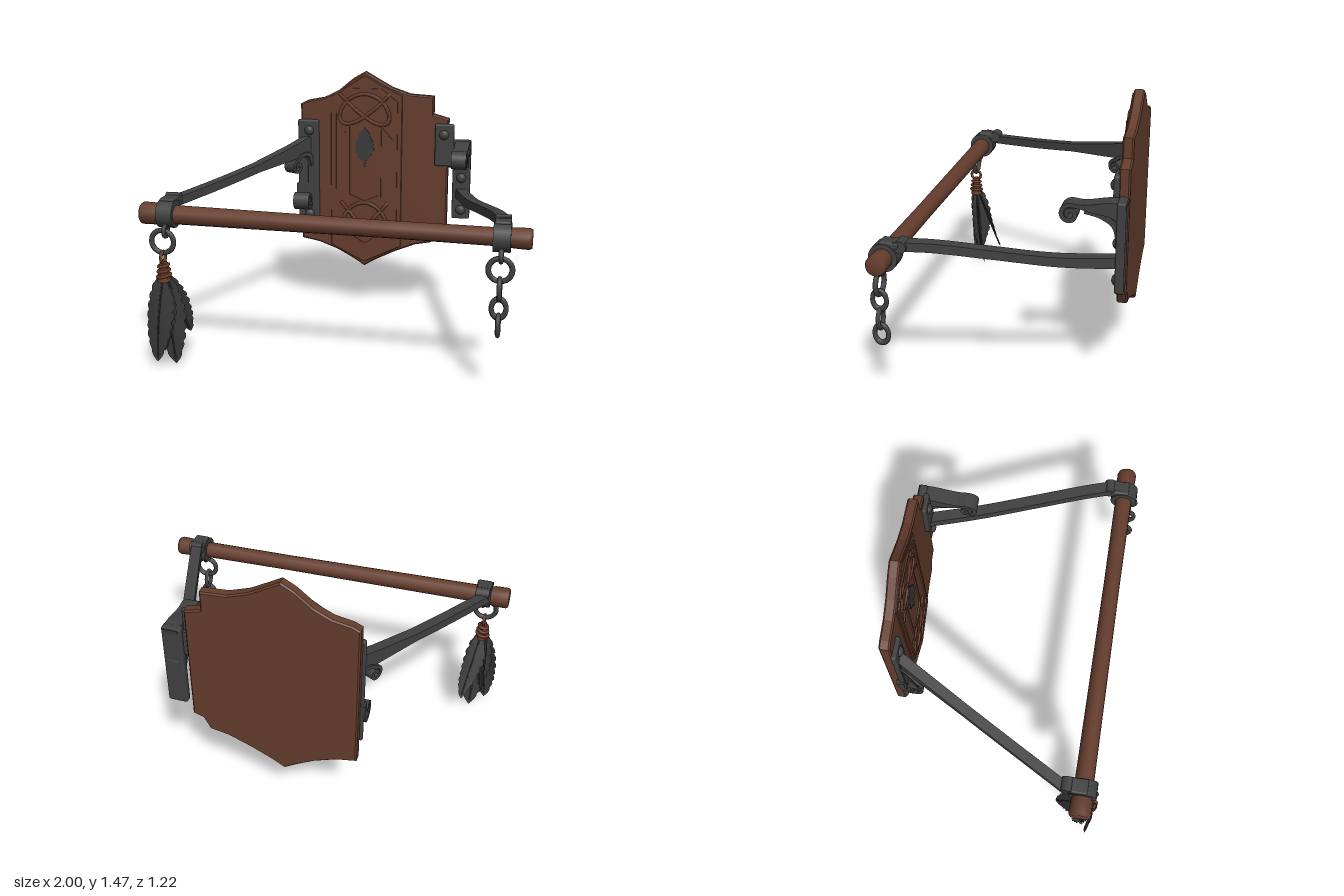
import * as THREE from 'three';
import { RoundedBoxGeometry } from 'three/addons/geometries/RoundedBoxGeometry.js';

const wood = new THREE.MeshStandardMaterial({ color: 0x653d2d });
wood.name = 'brown wood';
const iron = new THREE.MeshStandardMaterial({ color: 0x414141 });
iron.name = 'dark iron';
const plume = new THREE.MeshStandardMaterial({ color: 0x3a3a3b, side: THREE.DoubleSide });
plume.name = 'feather grey';
const twine = new THREE.MeshStandardMaterial({ color: 0x6b3c27 });
twine.name = 'leather twine';

const V = (x, y, z = 0) => new THREE.Vector3(x, y, z);

function add(parent, name, geometry, material, x = 0, y = 0, z = 0) {
  const mesh = new THREE.Mesh(geometry, material);
  mesh.name = name;
  mesh.position.set(x, y, z);
  parent.add(mesh);
  return mesh;
}

const slab = (points, depth, bevel) => new THREE.ExtrudeGeometry(
  new THREE.Shape(points.map(([x, y]) => new THREE.Vector2(x, y))),
  { depth: depth - 2 * bevel, bevelEnabled: bevel > 0, bevelThickness: bevel, bevelSize: bevel, bevelOffset: -bevel, bevelSegments: 1 }
).translate(0, 0, bevel);

// Points of a spiral that winds inwards
function spiral(cx, cy, r0, r1, start, turns) {
  const n = Math.ceil(Math.abs(turns) * 12);
  return Array.from({ length: n + 1 }, (_, i) => {
    const r = r0 + (r1 - r0) * i / n, a = start + turns * 2 * Math.PI * i / n;
    return [cx + r * Math.cos(a), cy + r * Math.sin(a)];
  });
}

// Iron strap following a curve in the x-y plane, tapering from t0 to t1
function strap(points, t0, t1, width, n = 48) {
  const curve = new THREE.CatmullRomCurve3(points.map(([x, y]) => V(x, y)));
  const upper = [], lower = [];
  for (let i = 0; i <= n; i++) {
    const p = curve.getPointAt(i / n), d = curve.getTangentAt(i / n);
    const h = (t1 + (t0 - t1) * Math.max(0, 1 - 2.4 * i / n)) / 2;
    upper.push([p.x - d.y * h, p.y + d.x * h]);
    lower.unshift([p.x + d.y * h, p.y - d.x * h]);
  }
  return slab([...upper, ...lower], width, 0).translate(0, 0, -width / 2);
}

// Flat raised bar between two points on the board face
function rail(parent, name, [x0, y0], [x1, y1], width, z) {
  const length = Math.hypot(x1 - x0, y1 - y0) + width * 0.6;
  const bar = add(parent, name, new THREE.BoxGeometry(length, width, 0.012), wood, (x0 + x1) / 2, (y0 + y1) / 2, z);
  bar.rotation.z = Math.atan2(y1 - y0, x1 - x0);
}

function bolt(parent, x, y, z) {
  const head = new THREE.SphereGeometry(0.029, 14, 6, 0, Math.PI * 2, 0, Math.PI / 2).rotateX(Math.PI / 2);
  add(parent, 'bolt', head, iron, x, y, z).scale.z = 0.75;
}

// Carved wall board
function makeBoard() {
  const board = new THREE.Group();
  board.name = 'wallBoard';
  const outline = [
    [-0.41, 0.43], [-0.3, 0.41], [-0.18, 0.365], [-0.08, 0.31], [-0.02, 0.272], [0.05, 0.315], [0.17, 0.375], [0.29, 0.425],
    [0.39, 0.445], [0.425, 0.515], [0.48, 0.535], [0.48, 1.2], [0.39, 1.225], [0.39, 1.33], [0.25, 1.338], [0.14, 1.375],
    [0.05, 1.425], [-0.02, 1.465], [-0.09, 1.425], [-0.18, 1.35], [-0.27, 1.305], [-0.37, 1.285], [-0.41, 1.265]];
  add(board, 'backboard', slab(outline, 0.057, 0.008), wood, 0, 0, -0.605);
  const centre = [[-0.225, 0.4], [-0.02, 0.3], [0.205, 0.41], [0.205, 1.33], [0.08, 1.39], [-0.02, 1.445], [-0.12, 1.38], [-0.225, 1.315]];
  add(board, 'centrePlank', slab(centre, 0.012, 0.003), wood, 0, 0, -0.553);

  const frame = [[-0.2, 1.29], [-0.11, 1.36], [0.08, 1.36], [0.17, 1.29], [0.17, 0.53], [-0.02, 0.41], [-0.2, 0.53]];
  frame.forEach((p, i) => rail(board, 'frameRail', p, frame[(i + 1) % frame.length], 0.017, -0.539));
  for (const x of [-0.115, 0.075]) rail(board, 'innerRail', [x, 0.72], [x, 1.14], 0.014, -0.539);
  for (const s of [-1, 1]) {
    rail(board, 'innerRail', [-0.02 + s * 0.095, 0.72], [-0.02, 0.68], 0.014, -0.539);
    rail(board, 'innerRail', [-0.02 + s * 0.095, 1.14], [-0.02 + s * 0.16, 1.07], 0.014, -0.539);
  }

  // Interlaced knots above and below
  for (const [y, a, b] of [[1.245, 0.15, 0.09], [0.575, 0.14, 0.1]]) {
    const path = Array.from({ length: 96 }, (_, i) => {
      const t = i / 96 * Math.PI * 2;
      return V(a * Math.sin(3 * t + 0.4), b * Math.sin(4 * t), 0.006 * Math.cos(12 * t));
    });
    const knot = new THREE.TubeGeometry(new THREE.CatmullRomCurve3(path, true), 200, 0.0115, 6, true);
    add(board, 'knot', knot, wood, -0.02, y, -0.541).scale.z = 0.7;
  }

  // Inlaid feather
  const half = [[0.012, 0.94], [0.045, 0.965], [0.04, 0.98], [0.062, 1.0], [0.052, 1.02], [0.056, 1.05], [0.038, 1.075], [0.03, 1.105]];
  const inlay = [[0.005, 0.895], ...half, [0, 1.14], ...half.map(([x, y]) => [-x, y - 0.006]).reverse(), [-0.005, 0.895]];
  add(board, 'featherInlay', slab(inlay, 0.008, 0), plume, -0.02, 0, -0.542);
  return board;
}

// Plane through a point, facing along (dx, dz), for straps
function strapPlane(parent, name, x, z, dx, dz) {
  const group = new THREE.Group();
  group.name = name;
  group.position.set(x, 0, z);
  group.rotation.y = Math.atan2(-dz, dx);
  parent.add(group);
  return group;
}

function makeBrackets() {
  const brackets = new THREE.Group();
  brackets.name = 'brackets';
  const Q = Math.PI / 2;

  // Bracket on the -x side, with the high arm
  add(brackets, 'mountPlate', new RoundedBoxGeometry(0.128, 0.643, 0.03, 2, 0.012), iron, -0.361, 0.853, -0.54);
  for (const y of [1.11, 0.595]) bolt(brackets, -0.355, y, -0.526);
  const high = strapPlane(brackets, 'highArm', -0.365, -0.545, -0.52, 0.975);
  add(high, 'arm', strap([[0, 1.025], [0.12, 1.0], [0.35, 0.965], [0.7, 0.915], [1.09, 0.87]], 0.1, 0.046, 0.055), iron);
  add(high, 'upperScroll', strap([[0, 0.9], [0.03, 0.965], [0.09, 0.97], ...spiral(0.13, 0.905, 0.04, 0.01, Q, -1.3)], 0.03, 0.019, 0.075, 70), iron);
  const low = strapPlane(brackets, 'lowerScrollBracket', -0.388, -0.545, 0, 1);
  add(low, 'lowerScroll', strap([[0, 0.78], [0.008, 0.7], [0.03, 0.65], ...spiral(0.065, 0.69, 0.048, 0.011, -Q, 1.4)], 0.04, 0.021, 0.095, 70), iron);
  add(low, 'spine', new THREE.BoxGeometry(0.03, 0.36, 0.05), iron, 0.01, 0.88, 0);

  // Bracket on the +x side, with the low arm
  add(brackets, 'mountPlate', new RoundedBoxGeometry(0.112, 0.25, 0.03, 2, 0.01), iron, 0.458, 1.048, -0.542);
  bolt(brackets, 0.455, 1.11, -0.528);
  add(brackets, 'mountPlate', new RoundedBoxGeometry(0.105, 0.475, 0.045, 2, 0.01), iron, 0.56, 0.838, -0.5825);
  add(brackets, 'plateTie', new THREE.BoxGeometry(0.09, 0.14, 0.02), iron, 0.5, 0.98, -0.57);
  for (const y of [0.655, 0.85]) bolt(brackets, 0.56, y, -0.561);
  const top = strapPlane(brackets, 'topScrollBracket', 0.565, -0.605, 0, 1);
  add(top, 'topScroll', strap([[0.005, 1.02], [0.08, 1.035], [0.17, 1.035], [0.23, 1.04], ...spiral(0.272, 0.998, 0.046, 0.011, Q, -1.4)], 0.1, 0.022, 0.085, 80), iron);
  add(top, 'cornerFillet', strap([[0.02, 0.86], [0.05, 0.95], [0.12, 1.0], [0.2, 1.02]], 0.05, 0.03, 0.07, 16), iron);
  const lowArm = strapPlane(brackets, 'lowArm', 0.56, -0.57, 0.3, 1.02);
  add(lowArm, 'arm', strap([[0, 0.755], [0.3, 0.772], [0.62, 0.82], [0.9, 0.862], [1.08, 0.875]], 0.056, 0.046, 0.062), iron);
  return brackets;
}

// Wooden cross bar with thicker ends
function makeBar() {
  const profile = [[0, -1], [0.05, -1], [0.058, -0.99], [0.057, -0.92], [0.05, -0.88], [0.047, -0.3], [0.044, 0.3], [0.046, 0.85],
    [0.051, 0.92], [0.053, 0.985], [0.046, 1], [0, 1]].map(([r, y]) => new THREE.Vector2(r, y));
  const bar = new THREE.Mesh(new THREE.LatheGeometry(profile, 14).rotateZ(-Math.PI / 2), wood);
  bar.name = 'crossBar';
  bar.position.set(0, 0.822, 0.501);
  bar.rotation.set(0, -0.01, -0.01);
  return bar;
}

function makeClamp(x, y, z) {
  const clamp = new THREE.Group();
  clamp.name = 'clamp';
  clamp.position.set(x, y, z);
  add(clamp, 'band', new THREE.CylinderGeometry(0.073, 0.073, 0.085, 20).rotateZ(Math.PI / 2), iron);
  add(clamp, 'tongue', new RoundedBoxGeometry(0.08, 0.035, 0.1, 2, 0.01), iron, 0, 0.065, -0.03);
  add(clamp, 'curl', new THREE.CylinderGeometry(0.032, 0.032, 0.075, 14).rotateZ(Math.PI / 2), iron, 0, 0.06, -0.085);
  add(clamp, 'eye', new THREE.TorusGeometry(0.03, 0.012, 8, 16).rotateY(Math.PI / 2), iron, 0, -0.08, 0.045);
  return clamp;
}

function ring(parent, name, x, y, z, radius, tube, stretch, sideways) {
  const link = add(parent, name, new THREE.TorusGeometry(radius, tube, 8, 24), iron, x, y, z);
  link.scale.y = stretch;
  if (sideways) link.rotation.y = Math.PI / 2;
}

// Cupped vane with ragged edges, running from root to tip
function makeFeather(root, tip, width, yaw, bow) {
  const group = new THREE.Group();
  group.name = 'feather';
  const side = V(Math.cos(yaw), 0, Math.sin(yaw));
  const normal = V(-Math.sin(yaw), 0, Math.cos(yaw));
  const place = (s, t) => root.clone().lerp(tip, t)
    .addScaledVector(normal, bow * Math.sin(Math.PI * t) - 0.16 * width * s * s * Math.sin(Math.PI * t))
    .addScaledVector(side, s * width / 2);
  const vane = new THREE.PlaneGeometry(1, 1, 4, 28);
  const pos = vane.attributes.position;
  for (let i = 0; i < pos.count; i++) {
    const t = 0.5 - pos.getY(i), row = Math.round(t * 28);
    const ragged = row % 3 === 0 ? 0.86 : row % 7 === 2 ? 0.93 : 1;
    const w = Math.pow(Math.sin(Math.PI * Math.pow(t, 0.85)), 0.65) * ragged || 0;
    const p = place(pos.getX(i) * 2 * w, t);
    pos.setXYZ(i, p.x, p.y, p.z);
  }
  vane.computeVertexNormals();
  add(group, 'vane', vane, plume);
  const shaft = new THREE.CatmullRomCurve3([0, 0.3, 0.6, 0.95].map(t => place(0, t)));
  add(group, 'shaft', new THREE.TubeGeometry(shaft, 12, 0.005, 5), plume);
  return group;
}

export function createModel() {
  const model = new THREE.Group();
  model.name = 'wallHanger';
  model.add(makeBoard(), makeBrackets(), makeBar(), makeClamp(-0.856, 0.835, 0.492), makeClamp(0.855, 0.813, 0.51));

  // Hanging chain
  ring(model, 'chainRing', 0.853, 0.66, 0.55, 0.058, 0.014, 1, false);
  [0.565, 0.465, 0.378].forEach((y, i) => ring(model, 'chainLink', 0.853, y, 0.557, 0.036, 0.0125, 1.35, i % 2 === 0));

  // Feather bundle
  ring(model, 'featherRing', -0.873, 0.698, 0.545, 0.06, 0.014, 1, false);
  add(model, 'featherTie', new THREE.CylinderGeometry(0.018, 0.036, 0.11, 10), twine, -0.873, 0.54, 0.55);
  for (let i = 0; i < 3; i++) {
    const wrap = new THREE.TorusGeometry(0.026 + 0.004 * i, 0.009, 6, 14).rotateX(Math.PI / 2);
    add(model, 'twineWrap', wrap, twine, -0.873, 0.57 - i * 0.027, 0.55).rotation.z = 0.2;
  }
  add(model, 'twineLoop', new THREE.TorusGeometry(0.03, 0.009, 6, 14).rotateY(Math.PI / 2), twine, -0.873, 0.615, 0.55);
  const root = V(-0.873, 0.54, 0.55);
  [[-0.93, 0.03, 0.56, 0.16, 0.1, 0.025], [-0.85, 0, 0.498, 0.17, -0.2, 0.015],
    [-0.9, 0.08, 0.53, 0.15, 0.7, -0.01], [-0.81, 0.14, 0.372, 0.13, -0.35, 0.005]]
    .forEach(([x, y, z, w, yaw, bow]) => model.add(makeFeather(root, V(x, y, z), w, yaw, bow)));
  return model;
}
